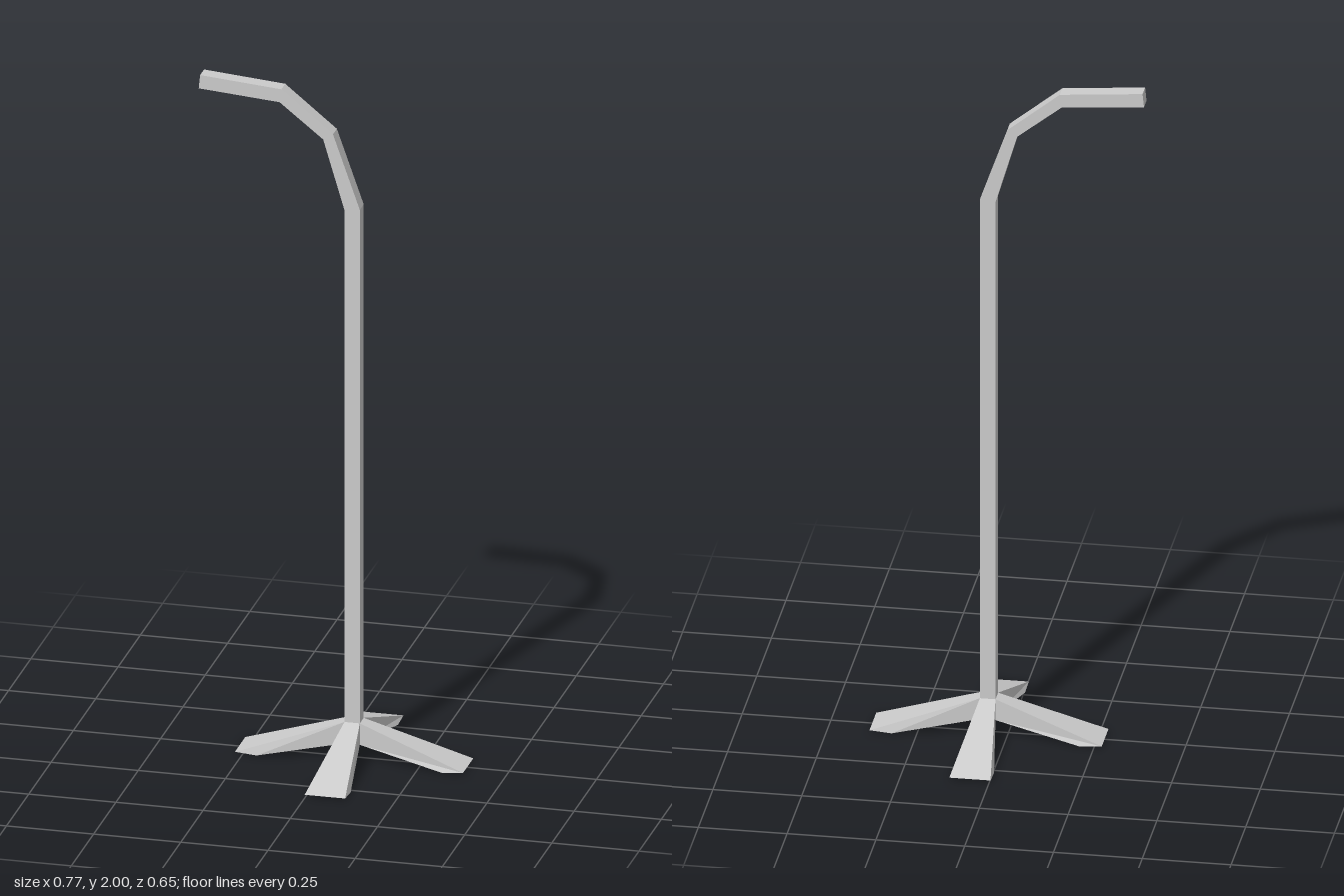
import * as THREE from 'three';

const POLE_X = 0.055;  // pole axis
const HALF = 0.022;    // half thickness of pole

// Splayed foot pointing along +x: a box whose corners are moved to a flared, tapering wedge
function footGeometry() {
  const geometry = new THREE.BoxGeometry(1, 1, 1);
  const p = geometry.attributes.position;
  for (let i = 0; i < p.count; i++) {
    const outer = p.getX(i) > 0, top = p.getY(i) > 0;
    const side = Math.sign(p.getZ(i));
    const x = outer ? (top ? 0.327 : 0.265) : HALF;
    const y = outer ? (top ? 0.005 : 0) : (top ? 0.11 : 0.046);
    p.setXYZ(i, x, y, side * (outer ? 0.058 : HALF));
  }
  geometry.computeVertexNormals();
  return geometry;
}

export function createModel() {
  const group = new THREE.Group();
  const material = new THREE.MeshStandardMaterial({ color: 0xcccccc, flatShading: true });

  // Square pole bending into the overhanging arm, as one side outline
  const outline = [
    [0.033, 0.046], [0.077, 0.046], [0.077, 1.642], [0, 1.86],
    [-0.148, 1.98], [-0.381, 2], [-0.385, 1.96], [-0.153, 1.941],
    [-0.028, 1.842], [0.033, 1.637],
  ].map(([x, y]) => new THREE.Vector2(x, y));
  const poleGeometry = new THREE.ExtrudeGeometry(new THREE.Shape(outline), {
    depth: 2 * HALF, bevelEnabled: false,
  });
  poleGeometry.translate(0, 0, -HALF);
  const pole = new THREE.Mesh(poleGeometry, material);
  pole.name = 'poleAndArm';
  group.add(pole);

  // Four feet around the pole
  const foot = footGeometry();
  ['leftFoot', 'backFoot', 'rightFoot', 'frontFoot'].forEach((name, i) => {
    const mesh = new THREE.Mesh(foot, material);
    mesh.name = name;
    mesh.position.x = POLE_X;
    mesh.rotation.y = i * Math.PI / 2;
    group.add(mesh);
  });

  return group;
}
